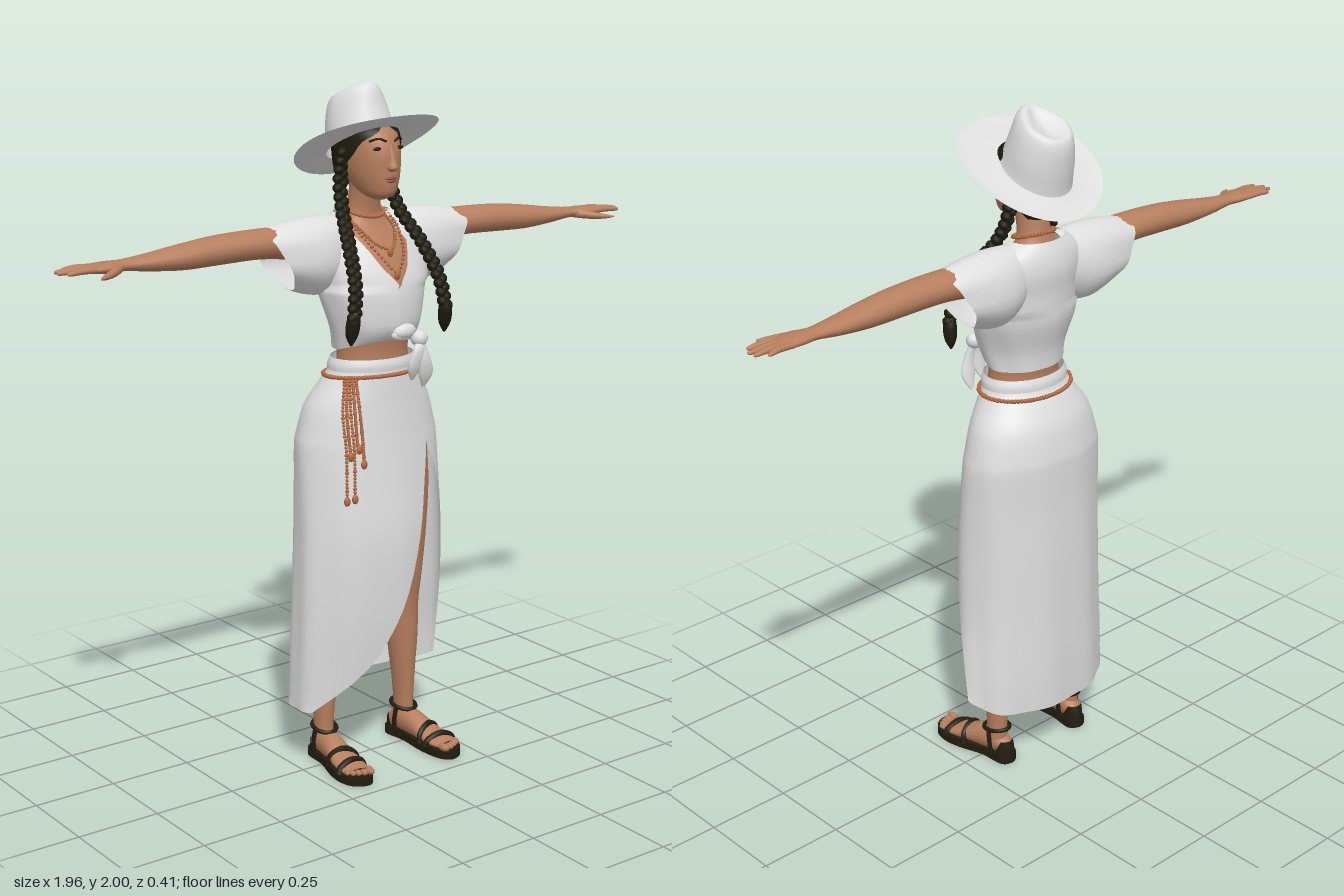
import * as THREE from 'three';
import { mergeVertices, mergeGeometries } from 'three/addons/utils/BufferGeometryUtils.js';

const V = (x, y, z) => new THREE.Vector3(x, y, z);
const TAU = Math.PI * 2;
const mat = (name, color, side = THREE.FrontSide) =>
  Object.assign(new THREE.MeshStandardMaterial({ color, side }), { name });

// Smooth value of one column of a table of sections
function sample(rows, t, c, fallback) {
  const last = rows.length - 1, s = Math.min(t * last, last - 1e-6), i = Math.floor(s), f = s - i;
  const g = k => rows[Math.max(0, Math.min(last, k))][c] ?? fallback;
  const [a, b, d, e] = [g(i - 1), g(i), g(i + 1), g(i + 2)];
  return b + 0.5 * f * (d - a + f * (2 * a - 5 * b + 4 * d - e + f * (3 * (b - d) + e - a)));
}

// Skin over oval sections [y, cx, cz, rx, rz, startAngle, endAngle], listed upwards; angle 0 is the front
function shell(rows, n = 24, bend = null) {
  const m = (rows.length - 1) * 4, pos = [], idx = [];
  for (let j = 0; j <= m; j++) {
    const t = j / m;
    const [y, cx, cz, rx, rz, a0, a1] = [0, 0, 0, 0, 0, 0, TAU].map((d, c) => sample(rows, t, c, d));
    for (let i = 0; i <= n; i++) {
      const a = a0 + (a1 - a0) * i / n;
      const p = V(cx + rx * Math.sin(a), y, cz + rz * Math.cos(a));
      if (bend) bend(p, a, t, a0);
      pos.push(p.x, p.y, p.z);
      if (i < n && j < m) {
        const k = j * (n + 1) + i;
        idx.push(k, k + 1, k + n + 1, k + 1, k + n + 2, k + n + 1);
      }
    }
  }
  const g = new THREE.BufferGeometry();
  g.setAttribute('position', new THREE.Float32BufferAttribute(pos, 3));
  g.setIndex(idx);
  const merged = mergeVertices(g, 1e-4);
  merged.computeVertexNormals();
  return merged;
}

// Copy to the other side, keeping faces outward
function mirrored(geo) {
  const g = geo.clone().scale(-1, 1, 1), ix = g.index;
  for (let i = 0; i < ix.count; i += 3) {
    const a = ix.getX(i);
    ix.setX(i, ix.getX(i + 1));
    ix.setX(i + 1, a);
  }
  return g;
}

const ball = (x, y, z, sx, sy = sx, sz = sx, seg = 12) =>
  new THREE.SphereGeometry(1, seg, Math.max(5, seg * 0.6 | 0)).scale(sx, sy, sz).translate(x, y, z);
const curve = (pts, closed = false) => new THREE.CatmullRomCurve3(pts.map(p => V(...p)), closed);
const tube = (pts, r, closed = false) => new THREE.TubeGeometry(curve(pts, closed), 28, r, 7, closed);
const beads = (pts, count, r, closed = false) => {
  const c = curve(pts, closed);
  return mergeGeometries(Array.from({ length: count }, (_, i) => {
    const p = c.getPointAt(i / (closed ? count : count - 1));
    return ball(p.x, p.y, p.z, i % 5 ? r : r * 1.4, r, r, 6);
  }));
};

export function createModel() {
  const root = new THREE.Group();
  const skin = mat('skin', 0xb67e5e), cloth = mat('white cloth', 0xdedede, THREE.DoubleSide);
  const hair = mat('dark hair', 0x1e1b0d, THREE.DoubleSide), leather = mat('dark leather', 0x231d10);
  const copper = mat('copper beads', 0xb4693f), lip = mat('lips', 0x95543f), eye = mat('eyes', 0x2a1c14);
  const add = (name, geo, m) => {
    const mesh = new THREE.Mesh(geo, m);
    mesh.name = name;
    root.add(mesh);
  };
  const pair = (name, geo, m) => { add(name + 'Left', geo, m); add(name + 'Right', mirrored(geo), m); };

  // Body and head
  add('body', shell([[1.08, 0, -.02, .15, .1], [1.2, 0, .005, .12, .085], [1.26, 0, .006, .112, .083],
    [1.35, 0, .005, .125, .098], [1.45, 0, 0, .15, .11], [1.52, 0, -.02, .158, .098], [1.57, 0, -.035, .145, .078],
    [1.62, 0, -.042, .075, .053], [1.66, 0, -.036, .049, .046], [1.74, 0, -.02, .047, .05]], 32), skin);
  add('head', shell([[1.685, 0, .035, .012, .02], [1.7, 0, .034, .042, .053], [1.73, 0, .015, .06, .082],
    [1.77, 0, 0, .073, .099], [1.82, 0, -.01, .079, .107], [1.87, 0, -.03, .08, .108],
    [1.91, 0, -.05, .068, .08], [1.94, 0, -.06, .02, .03]], 32), skin);
  add('nose', shell([[1.768, 0, .095, .006, .01], [1.778, 0, .098, .017, .021], [1.8, 0, .094, .011, .018],
    [1.845, 0, .086, .005, .008]], 12), skin);
  add('upperLip', ball(0, 1.75, .094, .022, .005, .01), lip);
  add('lowerLip', ball(0, 1.742, .092, .018, .006, .011), lip);
  pair('eye', ball(.034, 1.832, .084, .015, .0055, .005).rotateY(.05), eye);
  pair('brow', tube([[.014, 1.852, .092], [.035, 1.86, .084], [.056, 1.852, .066]], .0032), hair);

  // Hair and braids
  add('hair', shell([[1.71, 0, -.04, .062, .07, 2, TAU - 2], [1.76, 0, -.03, .083, .095, 1.55, TAU - 1.55],
    [1.81, 0, -.022, .091, .112, 1.15, TAU - 1.15], [1.85, 0, -.025, .09, .115, .85, TAU - .85],
    [1.88, 0, -.034, .085, .112, .3, TAU - .3], [1.91, 0, -.05, .07, .085, 0, TAU]], 32), hair);
  const plait = curve([[.082, 1.83, -.01], [.085, 1.74, -.03], [.098, 1.65, .0], [.125, 1.56, .07],
    [.147, 1.46, .128], [.16, 1.38, .14]]);
  pair('braid', mergeGeometries(Array.from({ length: 40 }, (_, i) => {
    const p = plait.getPointAt(i / 39);
    return ball(p.x + (i % 2 ? .007 : -.007), p.y, p.z, .0155, .016, .018, 8);
  })), hair);
  pair('braidEnd', shell([[1.3, .165, .13, .003, .003], [1.33, .164, .133, .018, .017], [1.37, .162, .138, .02, .02],
    [1.4, .158, .14, .012, .012]], 12), hair);

  // Hat: brim, crown with a pinched front and a creased top, tilted back
  add('hat', shell([[0, 0, 0, .212, .213], [.004, 0, -.005, .17, .175], [.014, 0, -.02, .11, .122],
    [.024, 0, -.024, .099, .11], [.08, 0, -.012, .093, .103], [.135, 0, .004, .08, .095],
    [.158, 0, .008, .062, .075], [.145, 0, .008, .025, .045], [.138, 0, .008, .001, .001]], 48, (p, a, t) => {
    if (t < .3) p.y += .02 * Math.sin(a) ** 2 * (1 - t / .3);
    if (t > .4) p.x *= 1 - .4 * Math.max(0, Math.cos(a)) * Math.min(1, (t - .4) * 2.5);
  }).rotateX(-.49).translate(0, 1.83, -.015), cloth);

  // Arms and hands
  const alongX = rows => shell(rows, 18).rotateZ(-Math.PI / 2);
  pair('arm', alongX([[.12, -1.56, -.045, .05, .05], [.25, -1.575, -.042, .047, .054], [.36, -1.582, -.04, .042, .054],
    [.49, -1.579, -.04, .041, .05], [.6, -1.572, -.04, .036, .047], [.7, -1.568, -.043, .025, .038],
    [.78, -1.568, -.044, .016, .028], [.83, -1.568, -.04, .016, .038], [.88, -1.568, -.042, .012, .037],
    [.9, -1.568, -.042, .004, .02]]), skin);
  [[-.07, .95, -.078], [-.052, .977, -.058], [-.034, .98, -.036], [-.016, .965, -.01]].forEach(([z, x, ez], i) =>
    pair('finger' + (i + 1), alongX([[.865, -1.568, z, .009, .01], [.91, -1.57, (z + ez) / 2, .0085, .009],
      [x - .01, -1.567, ez, .006, .007], [x, -1.566, ez, .001, .001]]), skin));
  pair('thumb', alongX([[.79, -1.565, -.035, .012, .014], [.83, -1.56, -.002, .012, .016], [.87, -1.556, .026, .008, .011],
    [.897, -1.555, .044, .002, .003]]), skin);

  // Wrapped blouse with open neck and wide sleeves
  const neck = w => [w, TAU - w];
  add('blouse', shell([[1.262, 0, .006, .124, .098], [1.32, 0, .016, .136, .114], [1.4, 0, .006, .16, .127],
    [1.45, 0, .0, .17, .126, ...neck(.02)], [1.5, 0, -.01, .172, .118, ...neck(.25)],
    [1.56, 0, -.03, .17, .104, ...neck(.45)], [1.61, 0, -.045, .145, .08, ...neck(.75)],
    [1.645, 0, -.05, .088, .06, ...neck(1.2)]], 48, (p, a, t) => {
    p.y += .03 * Math.max(0, Math.cos(a)) * Math.max(0, 1 - t * 5);
    const k = 1 + .012 * Math.sin(a * 8 + t * 9) * (1 - t);
    p.x *= k; p.z *= k;
    if (t > .42) p.x += .018 * (1 - t);
  }), cloth);
  pair('sleeve', shell([[.07, -1.55, -.045, .088, .06], [.14, -1.535, -.042, .108, .085], [.2, -1.53, -.042, .11, .09],
    [.26, -1.53, -.042, .1, .084], [.305, -1.53, -.042, .087, .076]], 28, (p, a, t) => {
    p.y -= .05 * t * Math.sin(a);
    p.z += .004 * Math.sin(a * 6) * t;
  }).rotateZ(-Math.PI / 2), cloth);

  // Knot with loops and tails
  add('knot', ball(.065, 1.295, .142, .026, .024, .024), cloth);
  add('knotLoop', ball(.1, 1.315, .13, .04, .022, .02).rotateZ(.06), cloth);
  add('knotFold', ball(.02, 1.31, .13, .045, .018, .014), cloth);
  [[.045, 1.175], [.085, 1.15]].forEach(([x, y], i) =>
    add('knotTail' + (i + 1), shell([[y, x, .135, .004, .004], [y + .04, x, .148, .024, .01],
      [y + .09, (x + .065) / 2, .154, .02, .011], [1.295, .065, .145, .01, .008]], 14), cloth));

  // Wrap skirt with a curved slit over the left leg
  const slit = (a, b) => [a, TAU + b];
  add('skirt', shell([[.19, .005, -.03, .262, .142, ...slit(1.65, -1.15)], [.32, .003, -.024, .258, .15, ...slit(1.56, -.39)],
    [.49, 0, -.015, .25, .158, ...slit(1.4, .04)], [.7, 0, -.012, .243, .161, ...slit(1.12, .32)],
    [.86, 0, -.018, .238, .152, ...slit(.86, .47)], [.975, 0, -.025, .234, .146, ...slit(.57, .57)],
    [1.02, 0, -.026, .226, .142, ...slit(.57, .57)], [1.1, 0, -.021, .202, .13, ...slit(.57, .57)],
    [1.16, 0, -.008, .163, .113, ...slit(.57, .57)], [1.2, 0, .002, .137, .1, ...slit(.57, .57)],
    [1.235, 0, .004, .128, .094, ...slit(.57, .57)]], 80, (p, a, t, a0) => {
    const low = Math.max(0, 1 - t * 1.4), k = 1 + .02 * low * Math.sin(a * 9 + t * 4);
    p.x *= k; p.z *= k;
    p.y += .06 * Math.exp((a0 - a) * 1.6) * Math.max(0, 1 - t * 5);
  }), cloth);
  add('waistband', shell([[1.203, 0, .002, .139, .102], [1.22, 0, .003, .138, .102], [1.238, 0, .004, .13, .096]], 40), cloth);

  // Bead belt with hanging strands
  const ring = (y, cz, rx, rz, drop = 0) => Array.from({ length: 16 }, (_, i) => {
    const a = i / 16 * TAU;
    return [rx * Math.sin(a), y - drop * Math.cos(a), cz + rz * Math.cos(a)];
  });
  add('belt', beads(ring(1.187, -.001, .15, .108, -.004), 84, .0065, true), copper);
  [[-.178, .85], [-.167, .98], [-.156, .855], [-.144, 1.0], [-.13, .955]].forEach(([x, y], i) => {
    const z = .128 + i * .004;
    add('beltStrand' + (i + 1), beads([[x * .6 - .045, 1.187, .08 + i * .004], [x, 1.1, z - .02], [x, 1.0, z - .004],
      [x, y, z]], 34, .0052), copper);
    add('strandCharm' + (i + 1), ball(x, y, z, .011, .014, .007, 8), copper);
  });

  // Necklaces
  add('choker', beads(ring(1.65, -.036, .058, .056, .016), 38, .006, true), copper);
  [[.066, 1.55, .092], [.08, 1.49, .125]].forEach(([w, y, z], i) => {
    add('necklace' + (i + 1), beads([[-w, 1.635, -.035], [-w * .9, 1.605, .025], [-w * .5, (y + 1.6) / 2 - .01, z - .025],
      [0, y, z], [w * .5, (y + 1.6) / 2 - .01, z - .025], [w * .9, 1.605, .025], [w, 1.635, -.035]], 36, .0052), copper);
    add('pendant' + (i + 1), ball(0, y - .008, z, .011, .015, .006, 8), copper);
  });

  // Legs
  pair('leg', shell([[.05, .152, -.035, .027, .034], [.11, .15, -.036, .027, .034], [.2, .148, -.036, .032, .04],
    [.34, .144, -.036, .046, .05], [.45, .14, -.027, .046, .049], [.54, .137, -.012, .049, .05],
    [.7, .13, -.008, .066, .066], [.86, .118, -.015, .085, .085], [1.02, .1, -.02, .09, .09]]), skin);

  // Feet and sandals, turned slightly outward
  const place = g => g.rotateY(.1).translate(.152, 0, 0);
  pair('foot', place(shell([[-.092, 0, -.05, .008, .01], [-.075, 0, -.052, .025, .026], [-.03, 0, -.065, .032, .042],
    [.03, 0, -.058, .036, .037], [.09, 0, -.044, .043, .022], [.14, 0, -.037, .043, .014],
    [.165, 0, -.036, .034, .009]], 18).rotateX(Math.PI / 2)), skin);
  pair('toes', place(mergeGeometries([[-.031, .178, .013], [-.011, .18, .01], [.006, .176, .009], [.021, .169, .009],
    [.034, .16, .008]].map(([x, z, r]) => ball(x, .038, z, r, r * .9, r * 1.7, 8)))), skin);
  const outline = new THREE.Shape(new THREE.SplineCurve([[0, -.1], [.031, -.08], [.03, 0], [.046, .08], [.048, .14],
    [.028, .188], [-.018, .204], [-.045, .17], [-.046, .09], [-.031, 0], [-.031, -.08], [0, -.1]]
    .map(p => new THREE.Vector2(...p))).getPoints(44));
  const sole = mergeVertices(new THREE.ExtrudeGeometry(outline, { depth: .026, bevelEnabled: false }));
  pair('sole', place(sole.rotateX(Math.PI / 2).translate(0, .03, 0)), leather);
  const over = (z, w, h, lean = 0) => [[-w, .026, z - lean], [-w * .8, h * .75, z - lean * .6], [0, h, z],
    [w * .8, h * .75, z + lean * .6], [w, .026, z + lean]];
  pair('toeStrap', place(tube(over(.125, .049, .058, .012), .01)), leather);
  pair('instepStrap', place(tube(over(.075, .046, .075, -.012), .009)), leather);
  pair('ankleStrap', place(tube(ring(.108, -.034, .034, .042, .006), .0065, true)), leather);
  pair('sideStrap', place(tube([[.033, .026, -.04], [.036, .07, -.035], [.033, .108, -.03]], .007)), leather);
  pair('innerStrap', place(tube([[-.033, .026, -.04], [-.036, .07, -.035], [-.033, .108, -.03]], .007)), leather);
  pair('heelCup', place(shell([[.02, 0, -.045, .033, .053, 1.7, TAU - 1.7], [.05, 0, -.043, .034, .053, 1.9, TAU - 1.9],
    [.075, 0, -.04, .034, .048, 2.3, TAU - 2.3]], 16)), leather);
  return root;
}
